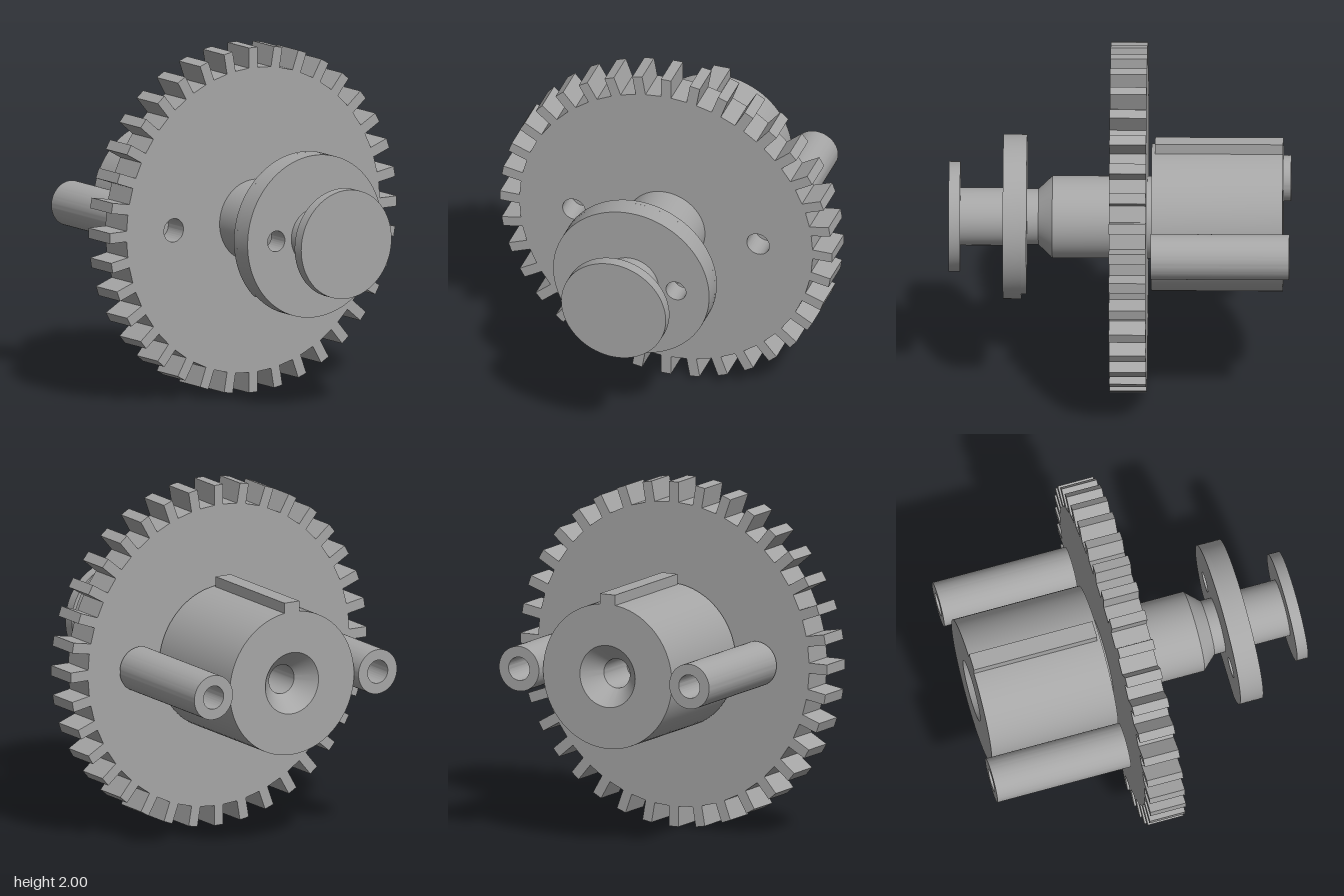
import * as THREE from 'three';
import { toCreasedNormals } from 'three/addons/utils/BufferGeometryUtils.js';

const steel = new THREE.MeshStandardMaterial({ color: 0xa6a6a6 });
steel.name = 'grey metal';

const HOLE_X = 0.555, HOLE_R = 0.068;

function addMesh(parent, name, geometry) {
  const mesh = new THREE.Mesh(toCreasedNormals(geometry, 0.5), steel);
  mesh.name = name;
  parent.add(mesh);
  return mesh;
}

// Turned part: profile of [radius, z] pairs, back to front along the outside
function turned(parent, name, profile) {
  const points = profile.map(([r, z]) => new THREE.Vector2(r, z));
  return addMesh(parent, name, new THREE.LatheGeometry(points, 72).rotateX(Math.PI / 2));
}

// Flat part: outline extruded between two z values
function plate(parent, name, shape, z0, z1) {
  const geometry = new THREE.ExtrudeGeometry(shape, { depth: z1 - z0, bevelEnabled: false, curveSegments: 48 });
  return addMesh(parent, name, geometry.translate(0, 0, z0));
}

function disc(radius, x = 0) {
  const shape = new THREE.Shape();
  shape.absarc(x, 0, radius, 0, Math.PI * 2, false);
  return shape;
}

function pierce(shape, radius, ...xs) {
  for (const x of xs) {
    const hole = new THREE.Path();
    hole.absarc(x, 0, radius, 0, Math.PI * 2, true);
    shape.holes.push(hole);
  }
  return shape;
}

// Toothed outline with straight-sided teeth
function gearOutline() {
  const points = [], half = 0.03, root = 0.883, tip = 1, teeth = 36;
  for (let i = 0; i < teeth; i++) {
    const a = (i / teeth) * Math.PI * 2, c = Math.cos(a), s = Math.sin(a);
    for (const [r, w] of [[root, -half], [tip, -half], [tip, half], [root, half]]) {
      points.push(new THREE.Vector2(r * c - w * s, r * s + w * c));
    }
  }
  return new THREE.Shape(points);
}

export function createModel() {
  const model = new THREE.Group();
  model.name = 'gearAssembly';
  const body = new THREE.Group();
  body.name = 'gearBody';
  body.position.y = 1;
  model.add(body);

  // Gear wheel: solid web in front, rim around a shallow recess at the back
  plate(body, 'gearWeb', pierce(gearOutline(), HOLE_R, HOLE_X, -HOLE_X), -0.095, 0.055);
  plate(body, 'gearRim', pierce(gearOutline(), 0.77), -0.155, -0.095);
  plate(body, 'hubBoss', disc(0.47), -0.155, -0.095);

  // Shaft with a tapered shoulder, neck and end cap
  turned(body, 'shaft', [
    [0, -0.19], [0.235, -0.19], [0.235, 0.385], [0.16, 0.465], [0.16, 0.6],
    [0.165, 0.6], [0.165, 0.91], [0.315, 0.91], [0.315, 0.975], [0, 0.975],
  ]);

  // Flange with two holes and a back layer cut off flat at the bottom
  plate(body, 'flange', pierce(disc(0.47), 0.06, 0.27, -0.27), 0.56, 0.665);
  const cut = Math.asin(0.335 / 0.47);
  const backLayer = new THREE.Shape();
  backLayer.absarc(0, 0, 0.47, -cut, Math.PI + cut, false);
  backLayer.closePath();
  plate(body, 'flangeBack', pierce(backLayer, 0.06, 0.27, -0.27), 0.53, 0.56);

  // Drum with a countersunk bore and a key along the top
  turned(body, 'drum', [
    [0, -0.55], [0.085, -0.55], [0.085, -0.82], [0.18, -0.93],
    [0.42, -0.93], [0.42, -0.18], [0, -0.18],
  ]);
  const key = addMesh(body, 'key', new THREE.BoxGeometry(0.1, 0.1, 0.73));
  key.position.set(0, 0.427, -0.565);

  // Hollow posts on both sides, each facing a boss on the gear
  for (const [side, x] of [['left', HOLE_X], ['right', -HOLE_X]]) {
    plate(body, side + 'Post', pierce(disc(0.13, x), HOLE_R, x), -0.97, -0.18);
    plate(body, side + 'PostBoss', pierce(disc(0.15, x), HOLE_R, x), -0.154, -0.095);
  }
  return model;
}
